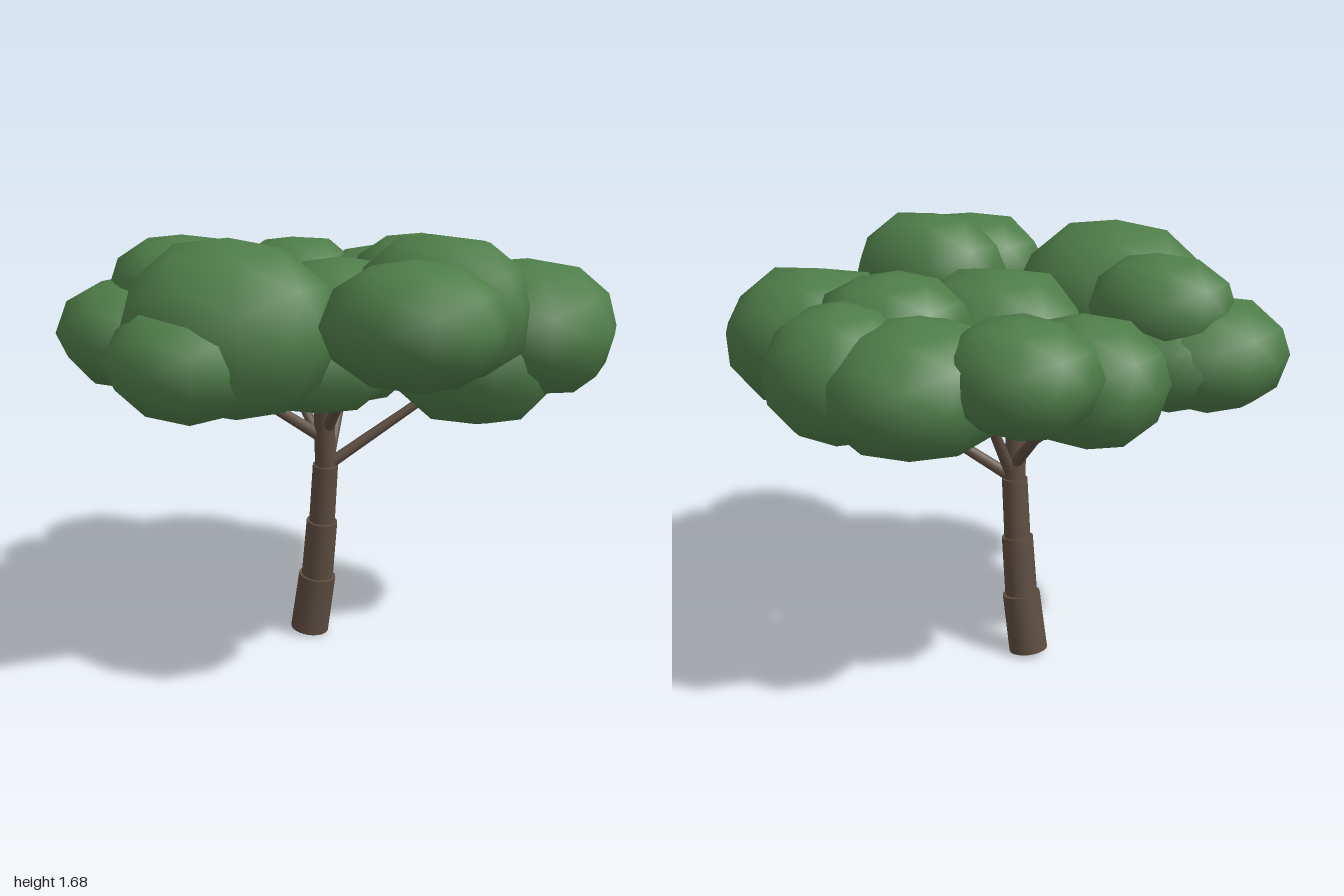
import * as THREE from 'three';
import { mergeVertices } from 'three/addons/utils/BufferGeometryUtils.js';

const leaf = new THREE.MeshStandardMaterial({ color: 0x4f7d49 });
leaf.name = 'leaf green';
const bark = new THREE.MeshStandardMaterial({ color: 0x5d4d41 });
bark.name = 'bark brown';

// Small seeded random generator
function seeded(seed) {
  let s = seed * 7919 + 17;
  return () => (s = (s * 16807) % 2147483647) / 2147483647;
}

// Tapered round limb between two points
function limb(name, from, to, r0, r1, sides) {
  const a = new THREE.Vector3(...from), b = new THREE.Vector3(...to);
  const dir = b.clone().sub(a);
  const mesh = new THREE.Mesh(new THREE.CylinderGeometry(r1, r0, dir.length(), sides), bark);
  mesh.position.copy(a).add(b).multiplyScalar(0.5);
  mesh.quaternion.setFromUnitVectors(new THREE.Vector3(0, 1, 0), dir.normalize());
  mesh.name = name;
  return mesh;
}

// Lumpy low-poly ball with smooth normals; a power above 2 makes it boxier
function foliage(name, [x, y, z, rx, ry, rz, power = 2.2], seed) {
  let geo = new THREE.IcosahedronGeometry(1, 1);
  geo.deleteAttribute('uv');
  geo.deleteAttribute('normal');
  geo = mergeVertices(geo, 1e-3);
  const rnd = seeded(seed), p = geo.attributes.position, v = new THREE.Vector3();
  for (let i = 0; i < p.count; i++) {
    v.fromBufferAttribute(p, i);
    const sum = v.toArray().reduce((t, c) => t + Math.abs(c) ** power, 0);
    v.multiplyScalar((0.97 + 0.08 * rnd()) / sum ** (1 / power));
    p.setXYZ(i, v.x * rx, v.y * ry, v.z * rz);
  }
  geo.computeVertexNormals();
  const mesh = new THREE.Mesh(geo, leaf);
  mesh.position.set(x, y, z);
  mesh.name = name;
  return mesh;
}

export function createModel() {
  const tree = new THREE.Group();
  tree.name = 'tree';

  // Leaning trunk of stepped segments
  const trunk = new THREE.Group();
  trunk.name = 'trunk';
  const joints = [[-0.146, 0.012, -0.022], [-0.108, 0.252, -0.02], [-0.081, 0.49, -0.01], [-0.06, 0.73, 0], [-0.055, 0.99, 0.02]];
  const radii = [0.077, 0.064, 0.052, 0.042];
  radii.forEach((r, i) => trunk.add(limb('trunkSegment' + (i + 1), joints[i], joints[i + 1], r, r * 0.97, 20)));
  tree.add(trunk);

  // Branches reaching into the foliage
  const branches = new THREE.Group();
  branches.name = 'branches';
  [
    [[-0.05, 0.73, 0], [0.36, 1.06, -0.28]],
    [[-0.05, 0.73, 0], [-0.07, 1.2, -0.28]],
    [[-0.06, 0.79, 0], [-0.4, 1.13, -0.22]],
    [[-0.06, 0.84, 0.01], [-0.4, 1.12, 0.25]],
    [[-0.04, 0.89, 0.02], [0.1, 1.08, 0.15]],
    [[-0.055, 0.95, 0.02], [-0.12, 1.25, 0.3]],
  ].forEach(([a, b], i) => branches.add(limb('branch' + (i + 1), a, b, 0.024, 0.016, 8)));
  tree.add(branches);

  // Foliage clumps: centre, radii and optional boxiness
  const canopy = new THREE.Group();
  canopy.name = 'canopy';
  const clumps = {
    centreClump: [0.01, 1.28, -0.01, 0.34, 0.28, 0.33],
    centreLowerClump: [0.03, 1.24, 0.24, 0.29, 0.23, 0.3],
    frontClump: [-0.17, 1.36, 0.54, 0.4, 0.32, 0.36],
    frontLowerClump: [-0.24, 1.27, 0.71, 0.28, 0.21, 0.28],
    frontLeftClump: [0.52, 1.42, 0.5, 0.3, 0.22, 0.27, 2.5],
    frontLeftUpperClump: [0.5, 1.43, 0.2, 0.3, 0.26, 0.26, 2.6],
    leftClump: [0.63, 1.28, -0.36, 0.35, 0.26, 0.33, 2.4],
    leftLowerClump: [0.46, 1.19, -0.28, 0.34, 0.29, 0.35],
    backClump: [-0.11, 1.28, -0.65, 0.31, 0.24, 0.34],
    backLeftClump: [0.17, 1.3, -0.72, 0.27, 0.25, 0.27, 2.4],
    backUpperClump: [0.15, 1.41, -0.46, 0.27, 0.19, 0.27, 2.4],
    backRightClump: [-0.46, 1.35, -0.53, 0.26, 0.2, 0.25, 2.4],
    rightClump: [-0.5, 1.26, -0.2, 0.29, 0.23, 0.25, 2.4],
    rightUpperClump: [-0.54, 1.44, 0.25, 0.27, 0.2, 0.25],
    frontRightClump: [-0.7, 1.27, 0.33, 0.29, 0.21, 0.3],
    frontRightInnerClump: [-0.58, 1.27, 0.24, 0.3, 0.21, 0.27],
    frontRightLowerClump: [-0.43, 1.23, 0.4, 0.29, 0.24, 0.29],
  };
  Object.entries(clumps).forEach(([name, c], i) => canopy.add(foliage(name, c, i + 1)));
  tree.add(canopy);
  return tree;
}
